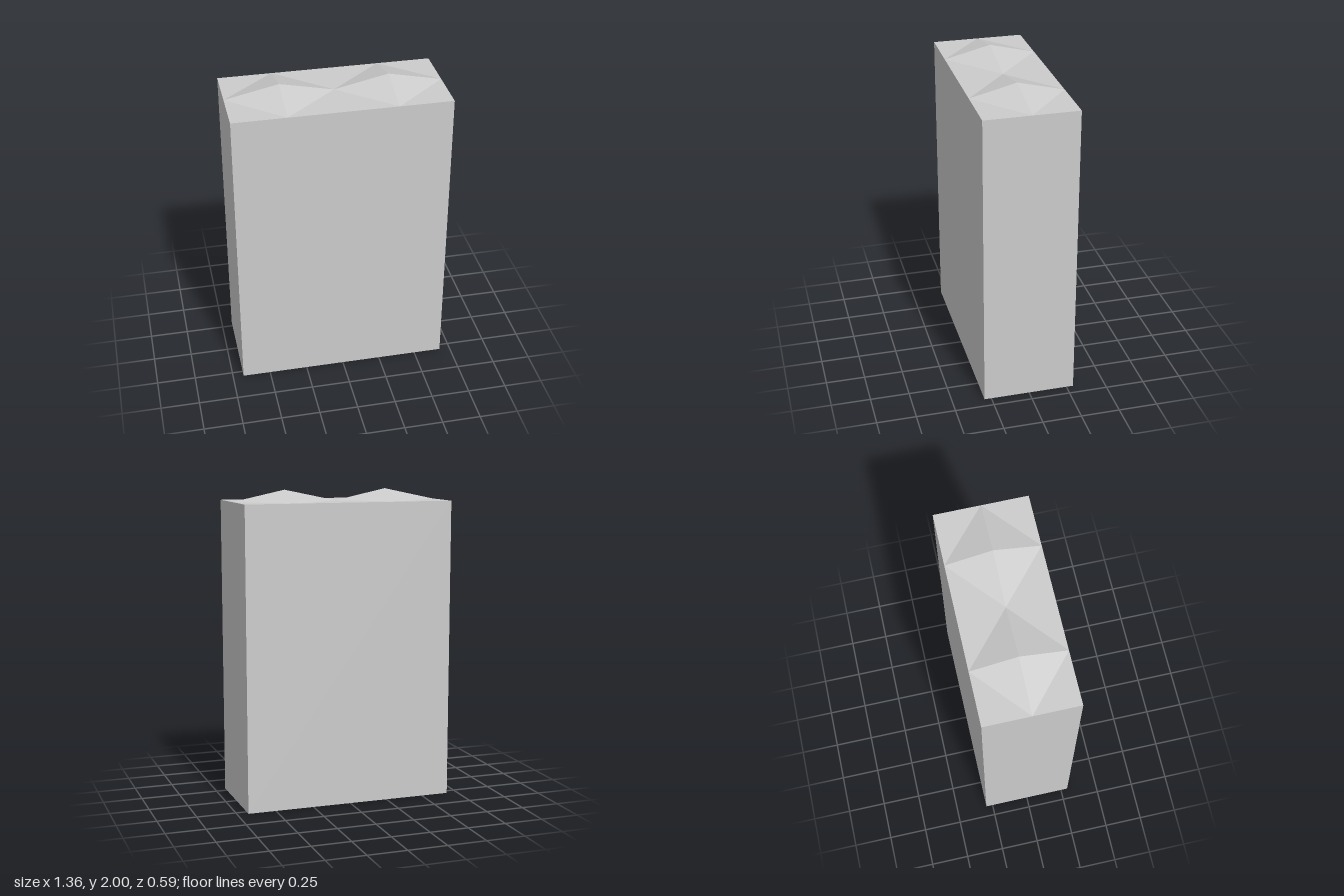
import * as THREE from 'three';

const WIDTH = 1.36, DEPTH = 0.59, WALL = 1.928, PEAK = 0.072;

export function createModel() {
  const model = new THREE.Group();
  const material = new THREE.MeshStandardMaterial({ color: 0xcccccc, flatShading: true });

  // Plain rectangular block
  const body = new THREE.Mesh(new THREE.BoxGeometry(WIDTH, WALL, DEPTH), material);
  body.name = 'body';
  body.position.y = WALL / 2;
  model.add(body);

  // Two shallow four-sided peaks, side by side, their feet at the middles of the edges
  for (const side of [-1, 1]) {
    const geometry = new THREE.ConeGeometry(1, PEAK, 4, 1, true);
    geometry.scale(WIDTH / 4, 1, DEPTH / 2);
    const peak = new THREE.Mesh(geometry, material);
    peak.name = side > 0 ? 'leftRoofPeak' : 'rightRoofPeak';
    peak.position.set(side * WIDTH / 4, WALL + PEAK / 2, 0);
    model.add(peak);
  }
  return model;
}
